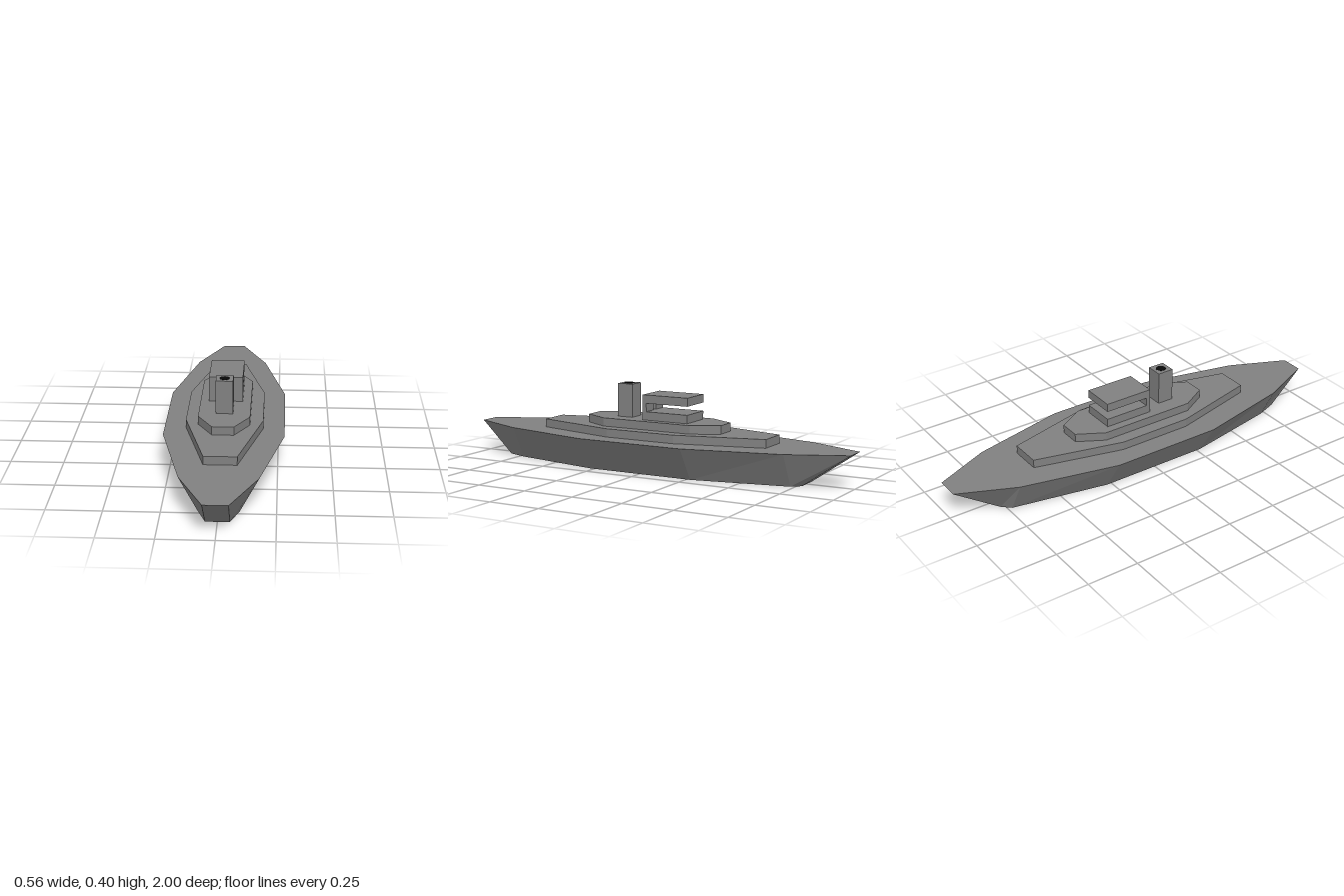
import * as THREE from 'three';

const grey = new THREE.MeshStandardMaterial({ color: 0x808080 });
grey.name = 'ship grey';
const black = new THREE.MeshStandardMaterial({ color: 0x080808 });
black.name = 'soot black';

// Mirrors half an outline (points [x, z] on the +x side, bow to stern) into a closed loop
function mirrored(half) {
  return [...half, ...half.map(([x, z]) => [-x, z]).reverse()];
}

// Flat-sided solid between a lower and an upper convex outline
function loft(name, lower, upper, y0, y1) {
  const a = lower.map(([x, z]) => [x, y0, z]);
  const b = upper.map(([x, z]) => [x, y1, z]);
  const pos = [];
  const tri = (...p) => p.forEach((v) => pos.push(...v));
  const n = a.length;
  for (let i = 0; i < n; i++) {
    const j = (i + 1) % n;
    tri(a[i], a[j], b[j]);
    tri(a[i], b[j], b[i]);
    if (i > 0 && i < n - 1) {
      tri(b[0], b[i], b[j]);
      tri(a[0], a[j], a[i]);
    }
  }
  const geo = new THREE.BufferGeometry();
  geo.setAttribute('position', new THREE.Float32BufferAttribute(pos, 3));
  geo.computeVertexNormals();
  const mesh = new THREE.Mesh(geo, grey);
  mesh.name = name;
  return mesh;
}

// Box given by its extents
function box(name, x0, x1, y0, y1, z0, z1) {
  const mesh = new THREE.Mesh(new THREE.BoxGeometry(x1 - x0, y1 - y0, z1 - z0), grey);
  mesh.position.set((x0 + x1) / 2, (y0 + y1) / 2, (z0 + z1) / 2);
  mesh.name = name;
  return mesh;
}

export function createModel() {
  const ship = new THREE.Group();
  ship.name = 'ship';

  // Hull flaring out from a narrow bottom to the main deck
  const keel = mirrored([[0.053, 0.83], [0.09, 0.73], [0.18, 0.27], [0.18, -0.27], [0.09, -0.73], [0.053, -0.77]]);
  const rail = mirrored([[0.055, 1], [0.175, 0.73], [0.28, 0.27], [0.28, -0.27], [0.175, -0.73], [0.055, -1]]);
  ship.add(loft('hull', keel, rail, 0, 0.16));

  // Two stepped decks
  const lower = mirrored([[0.075, 0.6], [0.18, 0.18], [0.18, -0.18], [0.075, -0.6]]);
  const upper = mirrored([[0.05, 0.36], [0.12, 0.235], [0.12, -0.235], [0.05, -0.36]]);
  ship.add(loft('lowerDeck', lower, lower, 0.16, 0.2));
  ship.add(loft('upperDeck', upper, upper, 0.2, 0.24));

  // Bridge: floor and roof joined by a slotted front wall, open at the sides and stern
  const bridge = new THREE.Group();
  bridge.name = 'bridge';
  bridge.add(box('bridgeFloor', -0.08, 0.08, 0.24, 0.28, -0.2, 0.04));
  bridge.add(box('bridgeRoof', -0.08, 0.08, 0.32, 0.36, -0.2, 0.04));
  bridge.add(box('frontWallLeft', 0.012, 0.08, 0.28, 0.32, 0.02, 0.04));
  bridge.add(box('frontWallRight', -0.08, -0.012, 0.28, 0.32, 0.02, 0.04));
  ship.add(bridge);

  // Square funnel with a dark round mouth
  ship.add(box('funnel', -0.04, 0.04, 0.24, 0.4, 0.12, 0.2));
  const mouth = new THREE.Mesh(new THREE.CylinderGeometry(0.024, 0.024, 0.002, 16), black);
  mouth.position.set(0, 0.4, 0.16);
  mouth.name = 'funnelMouth';
  ship.add(mouth);

  return ship;
}
